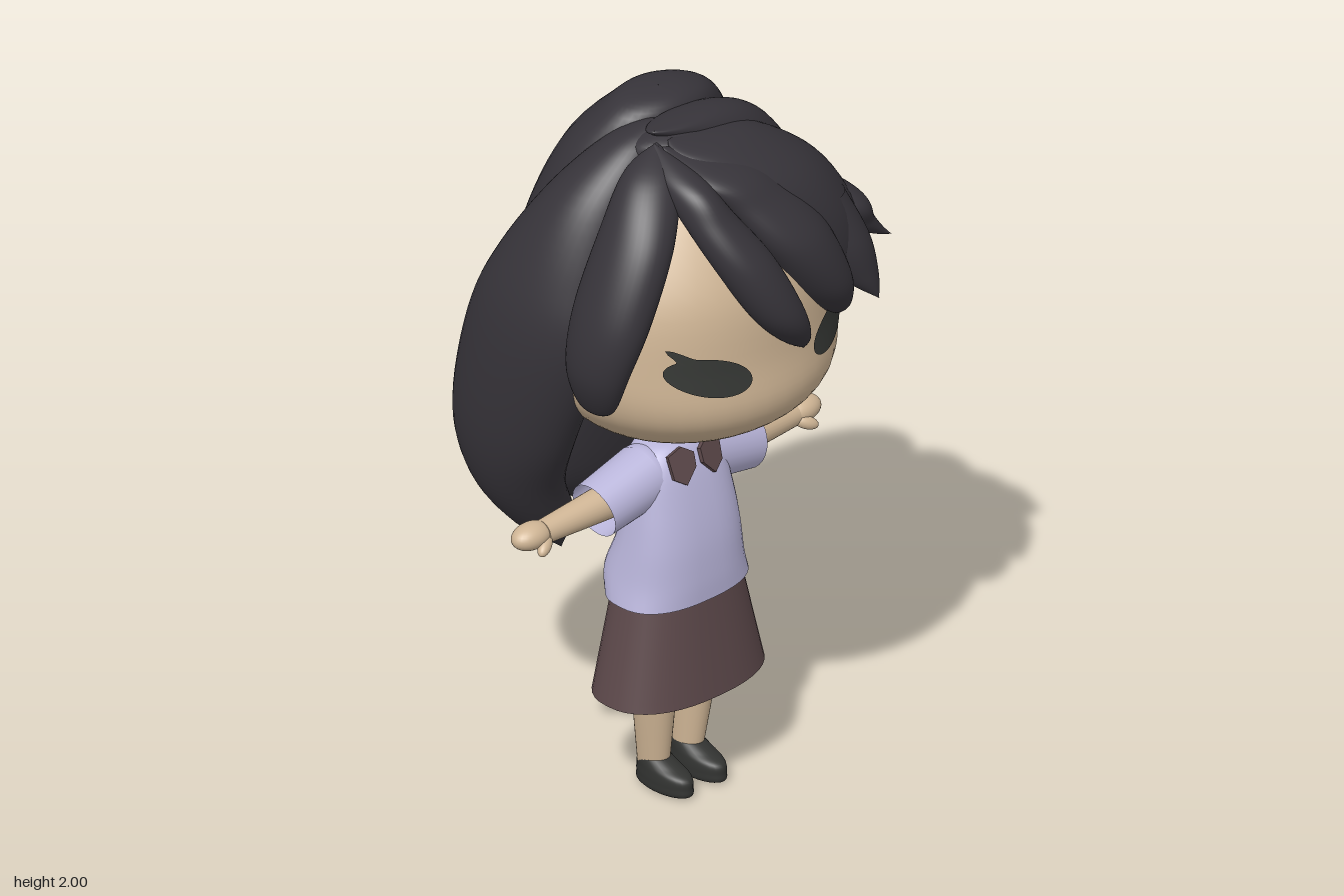
import * as THREE from 'three';

const mat = (color) => new THREE.MeshStandardMaterial({ color, side: THREE.DoubleSide });
const HAIR = mat(0x37343a), SKIN = mat(0xcfb595), SHIRT = mat(0xb9b5da);
const SKIRT = mat(0x5c484a), DARK = mat(0x323331), EYE = mat(0x363835);

// Rows run top to bottom: [y, x, z, rx, rz, yaw]
function rowAt(rows, t) {
  const f = Math.min(Math.max(t, 0), 1) * (rows.length - 1);
  const i = Math.min(Math.floor(f), rows.length - 2), u = f - i;
  const get = (k, c) => {
    const r = rows[Math.min(Math.max(k, 0), rows.length - 1)];
    return r[c] ?? (c === 4 ? r[3] : 0);
  };
  return [0, 1, 2, 3, 4, 5].map((c) => {
    const a = get(i - 1, c), b = get(i, c), d = get(i + 1, c), e = get(i + 2, c);
    const v = b + 0.5 * u * (d - a + u * (2 * a - 5 * b + 4 * d - e + u * (3 * (b - d) + e - a)));
    return c === 3 || c === 4 ? Math.max(v, 0.0005) : v;
  });
}

// Smooth skin over horizontal elliptical sections
function loft(rows, steps = 48, sides = 40, power = 1) {
  const pos = [], index = [];
  const bend = (v) => Math.sign(v) * Math.abs(v) ** power;
  for (let i = 0; i <= steps; i++) {
    const [y, x, z, rx, rz, yaw] = rowAt(rows, i / steps);
    for (let j = 0; j < sides; j++) {
      const a = (j / sides) * Math.PI * 2;
      const ex = rx * bend(Math.cos(a)), ez = rz * bend(Math.sin(a));
      pos.push(x + ex * Math.cos(yaw) + ez * Math.sin(yaw), y, z - ex * Math.sin(yaw) + ez * Math.cos(yaw));
      if (i < steps) {
        const p = i * sides + j, q = i * sides + ((j + 1) % sides);
        index.push(p, q, p + sides, q, q + sides, p + sides);
      }
    }
  }
  const g = new THREE.BufferGeometry();
  g.setAttribute('position', new THREE.Float32BufferAttribute(pos, 3));
  g.setIndex(index);
  g.computeVertexNormals();
  return g;
}

// Tapered limb between two points
function limb(a, b, ra, rb, open = false) {
  const A = new THREE.Vector3(...a), B = new THREE.Vector3(...b), d = B.clone().sub(A);
  const g = new THREE.CylinderGeometry(rb, ra, d.length(), 28, 1, open);
  g.applyQuaternion(new THREE.Quaternion().setFromUnitVectors(new THREE.Vector3(0, 1, 0), d.clone().normalize()));
  const m = A.add(B).multiplyScalar(0.5);
  return g.translate(m.x, m.y, m.z);
}

const ball = (c, r) => new THREE.SphereGeometry(1, 28, 20).scale(...r).translate(...c);

const HEAD = [
  [1.9, 0, 0.04, 0], [1.87, 0, 0.05, 0.19, 0.16], [1.8, 0, 0.05, 0.28, 0.24], [1.6, -0.005, 0.06, 0.385, 0.33],
  [1.4, -0.005, 0.07, 0.41, 0.34], [1.28, -0.005, 0.07, 0.395, 0.35], [1.2, 0, 0.05, 0.35, 0.33],
  [1.13, 0, 0.02, 0.265, 0.26], [1.075, 0, -0.02, 0.15, 0.15], [1.045, 0, -0.03, 0],
];

const LOCKS = {
  hairCap: [[1.975, -0.08, 0.05, 0], [1.95, -0.06, 0.05, 0.1, 0.08], [1.9, 0, 0, 0.2, 0.15], [1.8, 0, -0.04, 0.29, 0.17],
    [1.65, 0, -0.05, 0.36, 0.17], [1.4, 0, -0.09, 0.39, 0.17], [1.2, 0, -0.12, 0.34, 0.13], [1.1, 0, -0.14, 0.2, 0.08]],
  backHair: [[2, 0.02, -0.08, 0], [1.99, 0.02, -0.09, 0.09, 0.07], [1.95, 0.03, -0.1, 0.17, 0.11], [1.85, 0.04, -0.15, 0.25, 0.155],
    [1.7, 0.05, -0.19, 0.315, 0.195], [1.5, 0.06, -0.235, 0.36, 0.22], [1.3, 0.065, -0.27, 0.375, 0.21], [1.1, 0.07, -0.28, 0.37, 0.185],
    [0.85, 0.09, -0.3, 0.35, 0.13], [0.72, 0.18, -0.32, 0.25, 0.09], [0.62, 0.28, -0.33, 0.13, 0.05], [0.58, 0.36, -0.33, 0]],
  rightBackLock: [[1.975, -0.08, 0.01, 0], [1.93, -0.12, -0.01, 0.09, 0.07], [1.8, -0.22, -0.05, 0.135, 0.13],
    [1.6, -0.315, -0.1, 0.135, 0.19], [1.4, -0.35, -0.14, 0.135, 0.23], [1.1, -0.35, -0.23, 0.12, 0.2],
    [0.9, -0.305, -0.27, 0.11, 0.14], [0.75, -0.225, -0.26, 0.085, 0.08], [0.64, -0.175, -0.24, 0]],
  leftBackLock: [[1.985, -0.14, 0.07, 0], [1.97, -0.02, 0.05, 0.12, 0.055], [1.9, 0.11, 0.035, 0.14, 0.09],
    [1.75, 0.27, 0, 0.11, 0.12], [1.6, 0.375, -0.03, 0.09, 0.135], [1.4, 0.435, -0.06, 0.09, 0.15],
    [1.15, 0.46, -0.13, 0.088, 0.15], [0.95, 0.46, -0.24, 0.075, 0.12], [0.8, 0.455, -0.34, 0.045, 0.08], [0.68, 0.46, -0.43, 0]],
  rightFrontLock: [[1.965, -0.15, 0.09, 0], [1.91, -0.21, 0.13, 0.075, 0.07], [1.77, -0.3, 0.17, 0.09, 0.11],
    [1.58, -0.385, 0.17, 0.085, 0.12], [1.42, -0.42, 0.15, 0.065, 0.1], [1.3, -0.405, 0.13, 0.035, 0.06], [1.26, -0.385, 0.12, 0]],
  middleBang: [[1.965, -0.16, 0.09, 0], [1.91, -0.17, 0.19, 0.05, 0.09], [1.82, -0.15, 0.28, 0.07, 0.08],
    [1.7, -0.1, 0.36, 0.085, 0.08], [1.55, -0.03, 0.41, 0.075, 0.07], [1.45, 0.035, 0.41, 0.045], [1.39, 0.08, 0.4, 0]],
  secondBang: [[1.96, -0.15, 0.11, 0], [1.9, -0.06, 0.2, 0.1, 0.08, 0.2], [1.82, 0.02, 0.27, 0.11, 0.08, 0.3],
    [1.7, 0.1, 0.33, 0.12, 0.09, 0.4], [1.55, 0.18, 0.35, 0.095, 0.085, 0.45], [1.45, 0.23, 0.345, 0.05, 0.055, 0.45], [1.39, 0.27, 0.33, 0]],
  sideBang: [[1.965, -0.12, 0.1, 0], [1.93, 0, 0.14, 0.13, 0.07, 0.2], [1.83, 0.14, 0.18, 0.17, 0.12, 0.5],
    [1.7, 0.26, 0.2, 0.18, 0.12, 0.8], [1.55, 0.345, 0.2, 0.17, 0.1, 0.9], [1.42, 0.385, 0.18, 0.11, 0.07, 0.9],
    [1.34, 0.375, 0.14, 0.055, 0.04, 0.9], [1.3, 0.36, 0.13, 0]],
  outerFlick: [[1.75, 0.33, 0.17, 0], [1.64, 0.395, 0.18, 0.065, 0.1], [1.56, 0.445, 0.19, 0.055, 0.08],
    [1.51, 0.5, 0.21, 0.03, 0.045], [1.48, 0.55, 0.24, 0]],
  frontFlick: [[1.72, 0.27, 0.24, 0.08], [1.58, 0.32, 0.275, 0.085], [1.47, 0.36, 0.31, 0.055], [1.4, 0.39, 0.36, 0]],
};

// Front surface of the face at x, y
function faceZ(x, y) {
  let lo = 0, hi = 1;
  for (let i = 0; i < 24; i++) {
    const m = (lo + hi) / 2;
    if (rowAt(HEAD, m)[0] > y) lo = m; else hi = m;
  }
  const [, cx, cz, rx, rz] = rowAt(HEAD, lo);
  return cz + rz * Math.sqrt(Math.max(0, 1 - ((x - cx) / rx) ** 2));
}

// Eye disc with a lash spike at its outer top, laid on the face
function eye(s) {
  const g = new THREE.RingGeometry(0.001, 1, 96, 8), p = g.attributes.position;
  for (let i = 0; i < p.count; i++) {
    const a = Math.atan2(p.getY(i), p.getX(i) * s);
    const k = 1 + 0.7 * Math.max(0, Math.cos(a - 1.0)) ** 120;
    const x = s * 0.217 + p.getX(i) * 0.105 * k;
    const y = 1.4 + p.getY(i) * 0.055 * k + p.getX(i) * s * 0.022;
    p.setXYZ(i, x, y, faceZ(x, y) + 0.007);
  }
  g.computeVertexNormals();
  return g;
}

export function createModel() {
  const model = new THREE.Group(), hair = new THREE.Group(), body = new THREE.Group();
  hair.name = 'hair';
  body.name = 'body';
  body.position.x = -0.015;
  model.add(hair, body);
  const add = (name, geometry, material, parent = body) => {
    const m = new THREE.Mesh(geometry, material);
    m.name = name;
    parent.add(m);
    return m;
  };

  // Head and hair
  add('head', loft(HEAD), SKIN, model);
  for (const [name, rows] of Object.entries(LOCKS)) add(name, loft(rows), HAIR, hair);

  // Neck, shirt and skirt
  add('neck', limb([0, 0.95, 0], [0, 1.08, 0], 0.042, 0.042), SKIN);
  add('shirt', loft([[1.02, 0, 0, 0.04], [1.005, 0, 0, 0.095, 0.07], [0.95, 0, 0.01, 0.145, 0.09], [0.85, 0, 0.03, 0.16, 0.1],
    [0.75, 0, 0.03, 0.175, 0.12], [0.65, 0, 0.015, 0.192, 0.143], [0.585, 0, 0.025, 0.207, 0.133]], 30, 40, 0.8), SHIRT);
  add('skirt', loft([[0.61, 0, 0.025, 0.185, 0.125], [0.31, 0, 0.03, 0.255, 0.16]], 8, 40, 0.85), SKIRT);

  for (const s of [-1, 1]) {
    const side = s > 0 ? 'left' : 'right';
    add(side + 'Eye', eye(s), EYE, model);

    // Collar flap
    const flap = new THREE.Shape([[0.01, 1.0], [0.045, 1.025], [0.09, 1.01], [0.085, 0.945], [0.05, 0.92], [0.012, 0.96]]
      .map(([x, y]) => new THREE.Vector2(s * x, y - 0.97)));
    const collar = add(side + 'Collar', new THREE.ExtrudeGeometry(flap, { depth: 0.012, bevelEnabled: false }), SKIRT);
    collar.position.set(0, 0.97, 0.1);
    collar.rotation.set(-0.3, s * 0.15, 0);

    // Sleeve, arm and hand
    add(side + 'Shoulder', ball([s * 0.1, 0.925, 0], [0.07, 0.085, 0.085]), SHIRT);
    add(side + 'Sleeve', limb([s * 0.1, 0.925, 0], [s * 0.274, 0.887, 0], 0.086, 0.078, true), SHIRT);
    add(side + 'Arm', limb([s * 0.16, 0.9, 0], [s * 0.45, 0.888, -0.01], 0.052, 0.033), SKIN);
    add(side + 'Hand', ball([s * 0.485, 0.89, -0.015], [0.062, 0.036, 0.042]), SKIN);
    const thumb = add(side + 'Thumb', ball([0, 0, 0], [0.036, 0.018, 0.018]), SKIN);
    thumb.position.set(s * 0.47, 0.868, 0.02);
    thumb.rotation.set(0, -s * 0.5, -s * 0.4);

    // Leg and shoe
    add(side + 'Leg', loft([[0.5, s * 0.078, 0.02, 0.06, 0.072], [0.31, s * 0.073, 0.015, 0.054, 0.067],
      [0.06, s * 0.06, 0, 0.036, 0.048]], 12, 28), SKIN);
    add(side + 'Shoe', loft([[0.09, s * 0.06, 0, 0.036, 0.048], [0.072, s * 0.06, 0.02, 0.041, 0.07], [0.055, s * 0.06, 0.04, 0.044, 0.092],
      [0.03, s * 0.06, 0.043, 0.045, 0.096], [0.004, s * 0.06, 0.042, 0.04, 0.088], [0, s * 0.06, 0.04, 0]], 30, 28), DARK);
  }
  return model;
}
